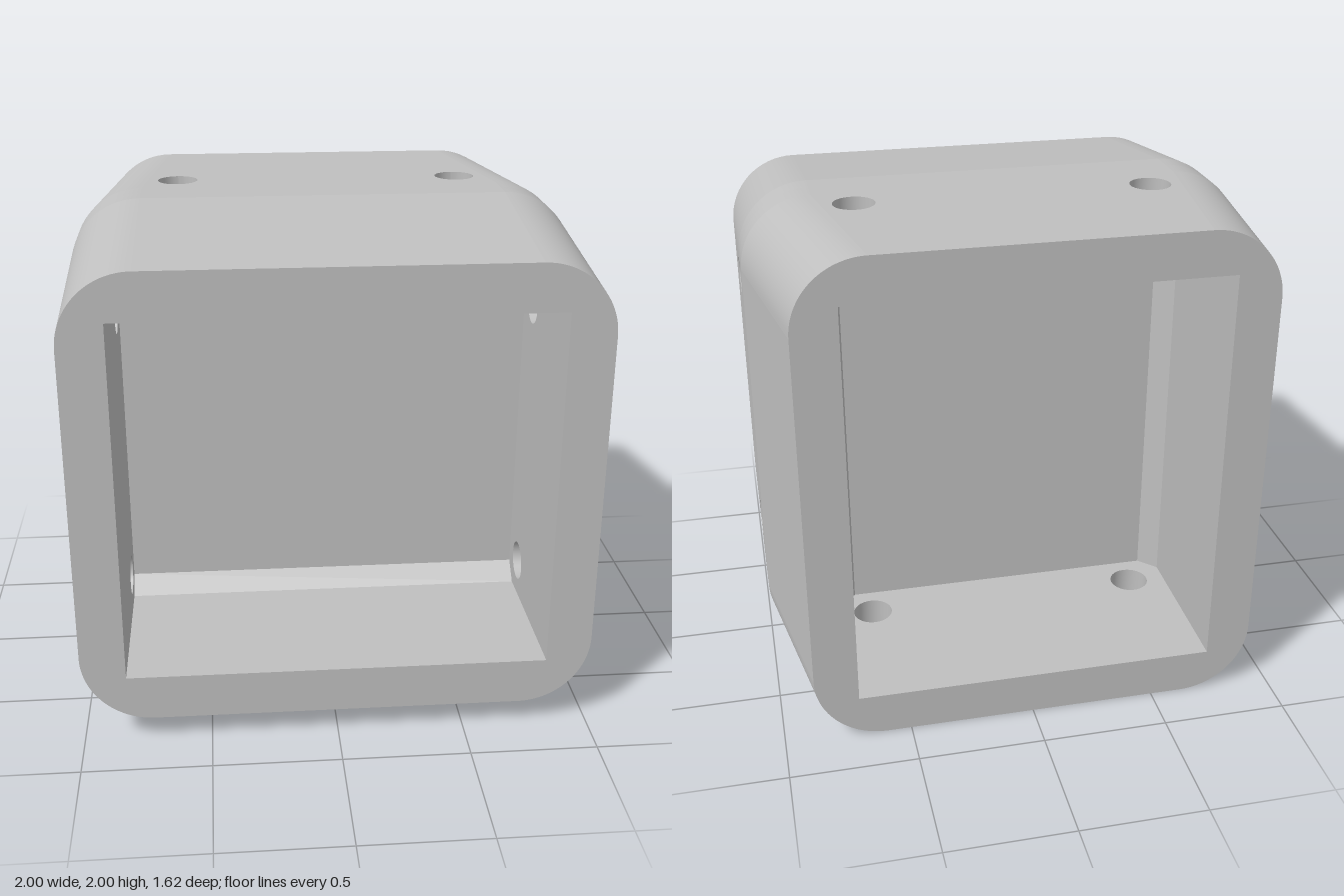
import * as THREE from 'three';
import { mergeGeometries } from 'three/addons/utils/BufferGeometryUtils.js';

const END = 0.81, BEND = 0.095, R = 0.28, FLAT = 1 - R; // socket depth, taper start, corner radius
const PX = 0.825, PY = 0.718, CH = 0.07;                // pocket half sizes and chamfer
const HOLE_R = 0.081, HOLE_Z = 0.236;
const V = (x, y, z) => new THREE.Vector3(x, y, z);

// Reverse the triangles if the surface does not look along `out`
function orient(geo, out) {
  const g = geo;
  g.computeVertexNormals();
  const n = V(0, 0, 0), t = V(0, 0, 0);
  for (let i = 0; i < g.attributes.normal.count; i++) n.add(t.fromBufferAttribute(g.attributes.normal, i));
  if (n.dot(out) < 0) {
    const a = g.index.array;
    for (let i = 0; i < a.length; i += 3) [a[i], a[i + 1]] = [a[i + 1], a[i]];
    g.computeVertexNormals();
  }
  return g;
}

// Ruled surface between two rows of points
function strip(rowA, rowB, out) {
  const g = new THREE.BufferGeometry().setFromPoints([...rowA, ...rowB]);
  const n = rowA.length, index = [];
  for (let i = 0; i < n - 1; i++) index.push(i, i + 1, n + i, i + 1, n + i + 1, n + i);
  g.setAttribute('uv', new THREE.Float32BufferAttribute(new Float32Array(n * 4), 2));
  g.setIndex(index);
  return orient(g, out);
}

// Flat wall at a given x, drawn in (z, y), with round screw holes
function sideWall(x, outline, holeYs, out) {
  const shape = new THREE.Shape(outline.map(([z, y]) => new THREE.Vector2(z, y)));
  for (const y of holeYs) shape.holes.push(new THREE.Path().absarc(HOLE_Z, y, HOLE_R, 0, Math.PI * 2, true));
  const g = new THREE.ShapeGeometry(shape, 16);
  const p = g.attributes.position;
  for (let i = 0; i < p.count; i++) p.setXYZ(i, x, p.getY(i), p.getX(i));
  return orient(g, V(out, 0, 0));
}

// Quarter round at one corner of a section
function arc(sx, sy, cy, z) {
  return Array.from({ length: 17 }, (_, i) => {
    const a = (i / 16) * Math.PI / 2;
    return V(sx * (FLAT + R * Math.cos(a)), cy + sy * R * Math.sin(a), z);
  });
}

// One socket: lo and hi are the edges of its narrowed mouth
function createSocket(lo, hi, holeYs, material) {
  const group = new THREE.Group();
  const mid = (lo + hi) / 2, p0 = mid - PY, p1 = mid + PY;
  const add = (name, parts) => {
    const mesh = new THREE.Mesh(mergeGeometries(parts), material);
    mesh.name = name;
    group.add(mesh);
  };

  // Outer shell: side walls, top and bottom, rounded corners
  const outer = [];
  for (const sx of [-1, 1]) {
    outer.push(sideWall(sx, [[0, -FLAT], [BEND, -FLAT], [END, lo + R], [END, hi - R], [BEND, FLAT], [0, FLAT]], holeYs, sx));
  }
  for (const [sy, edge] of [[-1, lo], [1, hi]]) {
    const sections = [[0, sy], [BEND, sy], [END, edge]];
    for (let i = 0; i < 2; i++) {
      const [[za, ya], [zb, yb]] = [sections[i], sections[i + 1]];
      outer.push(strip([V(-FLAT, ya, za), V(FLAT, ya, za)], [V(-FLAT, yb, zb), V(FLAT, yb, zb)], V(0, sy, 0)));
      for (const sx of [-1, 1]) {
        outer.push(strip(arc(sx, sy, ya - sy * R, za), arc(sx, sy, yb - sy * R, zb), V(sx, sy, 0)));
      }
    }
  }
  add('outerShell', outer);

  // Rim around the mouth
  const rim = new THREE.Shape();
  rim.absarc(FLAT, hi - R, R, 0, Math.PI / 2);
  rim.absarc(-FLAT, hi - R, R, Math.PI / 2, Math.PI);
  rim.absarc(-FLAT, lo + R, R, Math.PI, Math.PI * 1.5);
  rim.absarc(FLAT, lo + R, R, Math.PI * 1.5, Math.PI * 2);
  rim.holes.push(new THREE.Path([[-PX, p0], [-PX, p1], [PX, p1], [PX, p0]].map(([x, y]) => new THREE.Vector2(x, y))));
  add('mouthRim', [new THREE.ShapeGeometry(rim, 16).translate(0, 0, END)]);

  // Pocket lining: walls, chamfers and floor follow one profile in (z, y)
  const profile = [[END, p0], [BEND + CH, p0], [BEND, p0 + CH], [BEND, p1 - CH], [BEND + CH, p1], [END, p1]];
  const lining = [-1, 1].map((sx) => sideWall(sx * PX, profile, holeYs, -sx));
  for (let i = 0; i < 5; i++) {
    const [[za, ya], [zb, yb]] = [profile[i], profile[i + 1]];
    lining.push(strip([V(-PX, ya, za), V(PX, ya, za)], [V(-PX, yb, zb), V(PX, yb, zb)], V(0, ya - zb + za - yb === 0 ? 0 : za - zb, yb - ya)));
  }
  add('pocketLining', lining);

  // Screw hole bores, facing inwards
  const bores = [];
  for (const sx of [-1, 1]) {
    for (const y of holeYs) {
      const g = new THREE.CylinderGeometry(HOLE_R, HOLE_R, 1 - PX, 32, 1, true);
      g.scale(-1, 1, 1).rotateZ(Math.PI / 2).translate(sx * (1 + PX) / 2, y, HOLE_Z);
      g.computeVertexNormals();
      bores.push(g);
    }
  }
  add('screwHoles', bores);
  return group;
}

export function createModel() {
  const grey = new THREE.MeshStandardMaterial({ color: 0xbfbfbf });
  grey.name = 'grey';
  const model = new THREE.Group();
  model.name = 'tubeConnector';

  const front = createSocket(-0.9, 0.905, [-0.573, 0.58], grey);
  front.name = 'frontSocket';
  // The back socket is the same part turned a quarter about its length
  const back = createSocket(-0.905, 0.875, [-0.578, 0.572], grey);
  back.name = 'backSocket';
  back.quaternion.setFromAxisAngle(V(1, 1, 0).normalize(), Math.PI);
  for (const half of [front, back]) {
    half.position.y = 1;
    model.add(half);
  }
  return model;
}
